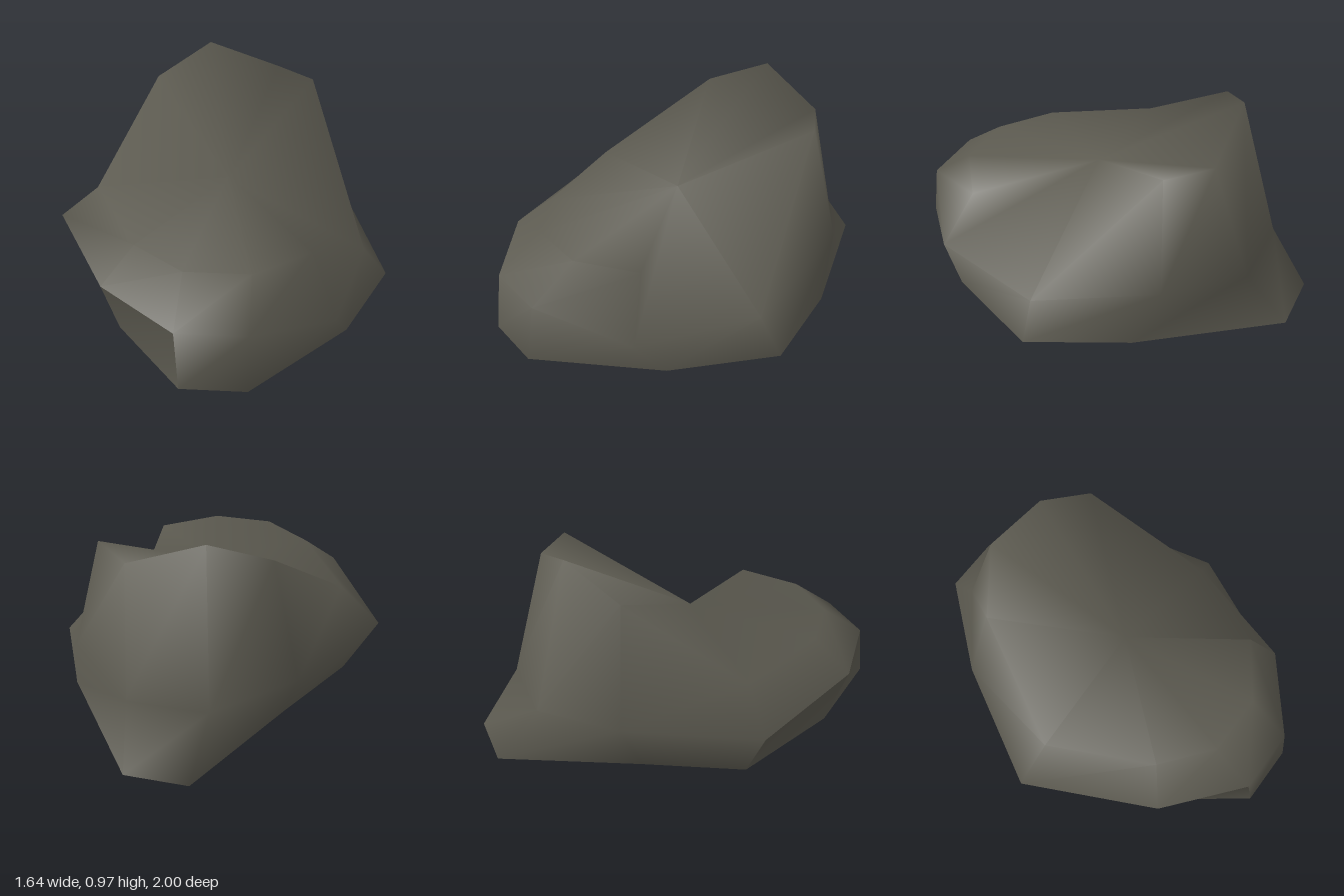
import * as THREE from 'three';

// Three rings of ten points, counter-clockwise from above, starting at the front.
const base = [
  [-0.14, 0, 1], [0.16, 0, 1], [0.60, 0, 0.54], [0.82, 0, 0.06], [0.60, 0, -0.40],
  [0.16, 0, -1], [-0.14, 0, -1], [-0.44, 0, -0.39], [-0.67, 0, 0.05], [-0.46, 0, 0.59],
];
const middle = [
  [-0.16, 0.265, 0.96], [0.16, 0.265, 0.96], [0.54, 0.15, 0.67], [0.70, 0.15, 0.08], [0.54, 0.30, -0.51],
  [0.20, 0.25, -0.80], [-0.18, 0.25, -0.80], [-0.52, 0.28, -0.51], [-0.825, 0.28, 0.06], [-0.52, 0.285, 0.67],
];
const rim = [
  [-0.14, 0.43, 0.74], [0.16, 0.43, 0.74], [0.42, 0.43, 0.55], [0.02, 0.53, 0.06], [0.42, 0.84, -0.45],
  [0.24, 0.84, -0.62], [-0.12, 0.97, -0.61], [-0.38, 0.84, -0.44], [-0.63, 0.455, 0.07], [-0.38, 0.435, 0.55],
];
const COUNT = 10;
const NOTCH = 3;            // rim point pushed inwards, the top fans out from it
const UNDERCUT = [8, 9];    // wall sections under the left front ledge

function shell(index) {
  const geometry = new THREE.BufferGeometry();
  const points = [...base, ...middle, ...rim].flat();
  geometry.setAttribute('position', new THREE.Float32BufferAttribute(points, 3));
  geometry.setIndex(index);
  geometry.computeVertexNormals();
  return geometry;
}

// Two triangles between ring r and the ring above it
function wallSection(r, i) {
  const j = (i + 1) % COUNT;
  const a = r * COUNT + i, b = r * COUNT + j;
  return [a, b, b + COUNT, a, b + COUNT, a + COUNT];
}

export function createModel() {
  const rock = new THREE.Group();
  rock.name = 'rock';
  const stone = new THREE.MeshStandardMaterial({ color: 0x5c5a50, side: THREE.DoubleSide });
  stone.name = 'grey stone';

  const body = [], undercut = [];
  for (let i = 0; i < COUNT; i++) {
    (UNDERCUT.includes(i) ? undercut : body).push(...wallSection(0, i));
    body.push(...wallSection(1, i));
  }

  // Sloping top
  const top = 2 * COUNT;
  for (let k = 1; k < COUNT - 1; k++) {
    body.push(top + NOTCH, top + (NOTCH + k) % COUNT, top + (NOTCH + k + 1) % COUNT);
  }

  // The undercut keeps its own normals, so the ledge above it stays sharp
  for (const [name, index] of [['boulderBody', body], ['undercutWall', undercut]]) {
    const mesh = new THREE.Mesh(shell(index), stone);
    mesh.name = name;
    rock.add(mesh);
  }
  return rock;
}
